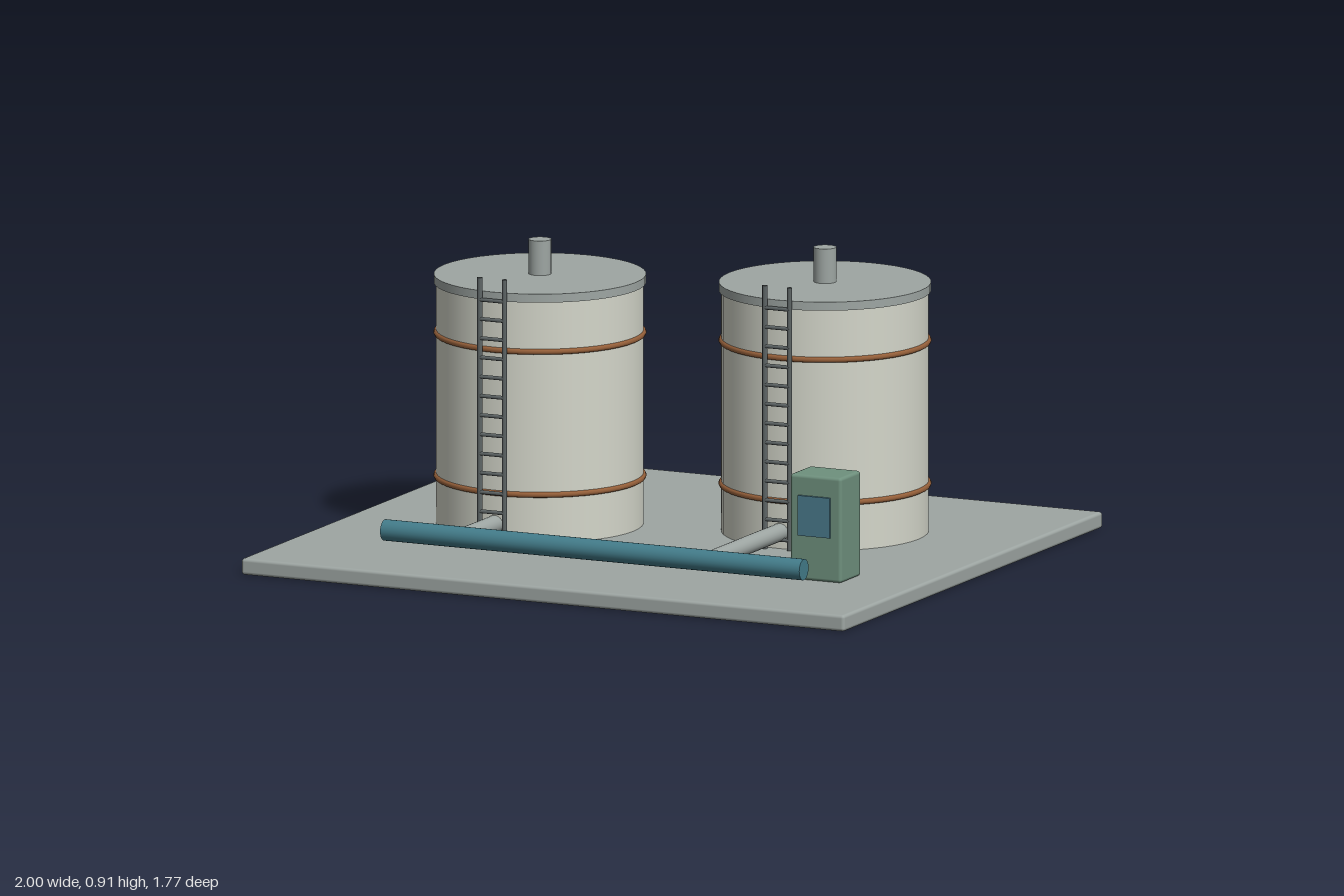
import * as THREE from 'three';
import { RoundedBoxGeometry } from 'three/addons/geometries/RoundedBoxGeometry.js';

const material = (name, color) => {
  const m = new THREE.MeshStandardMaterial({ color });
  m.name = name;
  return m;
};

export function createModel() {
  const grey = material('concrete grey', 0x9ea6a3);
  const shell = material('tank off-white', 0xd4d6ca);
  const rust = material('band brown', 0x96603a);
  const teal = material('pipe teal', 0x437c8a);
  const green = material('cabinet green', 0x6f917e);
  const blue = material('panel blue', 0x4a7a8c);
  const steel = material('ladder steel', 0x5f6667);

  const model = new THREE.Group();
  model.name = 'tankFarm';

  const add = (parent, name, geometry, mat, x, y, z) => {
    const mesh = new THREE.Mesh(geometry, mat);
    mesh.name = name;
    mesh.position.set(x, y, z);
    parent.add(mesh);
    return mesh;
  };
  const cylinder = (r, h, sides = 24) => new THREE.CylinderGeometry(r, r, h, sides);

  const GROUND = 0.05, PIPE_Y = 0.1, HEADER_Z = 0.522;

  // Foundation slab
  add(model, 'slab', new RoundedBoxGeometry(2, GROUND, 1.77, 2, 0.01), grey, 0, GROUND / 2, 0);

  // Tank with roof, vent, bands, ladder and outlet pipe
  function addTank(name, x, z) {
    const tank = new THREE.Group();
    tank.name = name;
    tank.position.set(x, 0, z);
    model.add(tank);

    add(tank, 'tankShell', cylinder(0.31, 0.74, 48), shell, 0, GROUND + 0.37, 0);
    add(tank, 'roof', cylinder(0.317, 0.026, 48), grey, 0, 0.794, 0);
    add(tank, 'vent', cylinder(0.034, 0.11), grey, 0, 0.857, 0);

    for (const y of [0.195, 0.63]) {
      const band = add(tank, 'band', new THREE.TorusGeometry(0.309, 0.009, 8, 48), rust, 0, y, 0);
      band.rotation.x = Math.PI / 2;
    }

    // Ladder
    const ladder = new THREE.Group();
    ladder.name = 'ladder';
    ladder.position.z = 0.326;
    tank.add(ladder);
    for (const side of [-1, 1]) {
      add(ladder, 'rail', cylinder(0.008, 0.8, 10), steel, side * 0.041, GROUND + 0.4, 0);
    }
    for (let i = 0; i < 13; i++) {
      const rung = add(ladder, 'rung', cylinder(0.006, 0.084, 8), steel, 0, 0.081 + i * 0.0585, 0.002);
      rung.rotation.z = Math.PI / 2;
    }

    // Outlet from the tank wall to the header pipe
    const start = 0.29, end = HEADER_Z - z;
    const outlet = add(tank, 'outletPipe', cylinder(0.027, end - start), grey, 0, PIPE_Y, (start + end) / 2);
    outlet.rotation.x = Math.PI / 2;
  }
  addTank('rightTank', -0.438, 0);
  addTank('leftTank', 0.38, -0.262);

  // Header pipe along the front
  const header = add(model, 'headerPipe', cylinder(0.032, 1.39), teal, -0.004, 0.098, HEADER_Z);
  header.rotation.z = Math.PI / 2;

  // Control cabinet with its display panel
  add(model, 'cabinet', new RoundedBoxGeometry(0.17, 0.32, 0.138, 2, 0.01), green, 0.694, GROUND + 0.16, 0.381);
  add(model, 'displayPanel', new THREE.BoxGeometry(0.106, 0.122, 0.009), blue, 0.692, 0.247, 0.4535);

  return model;
}
